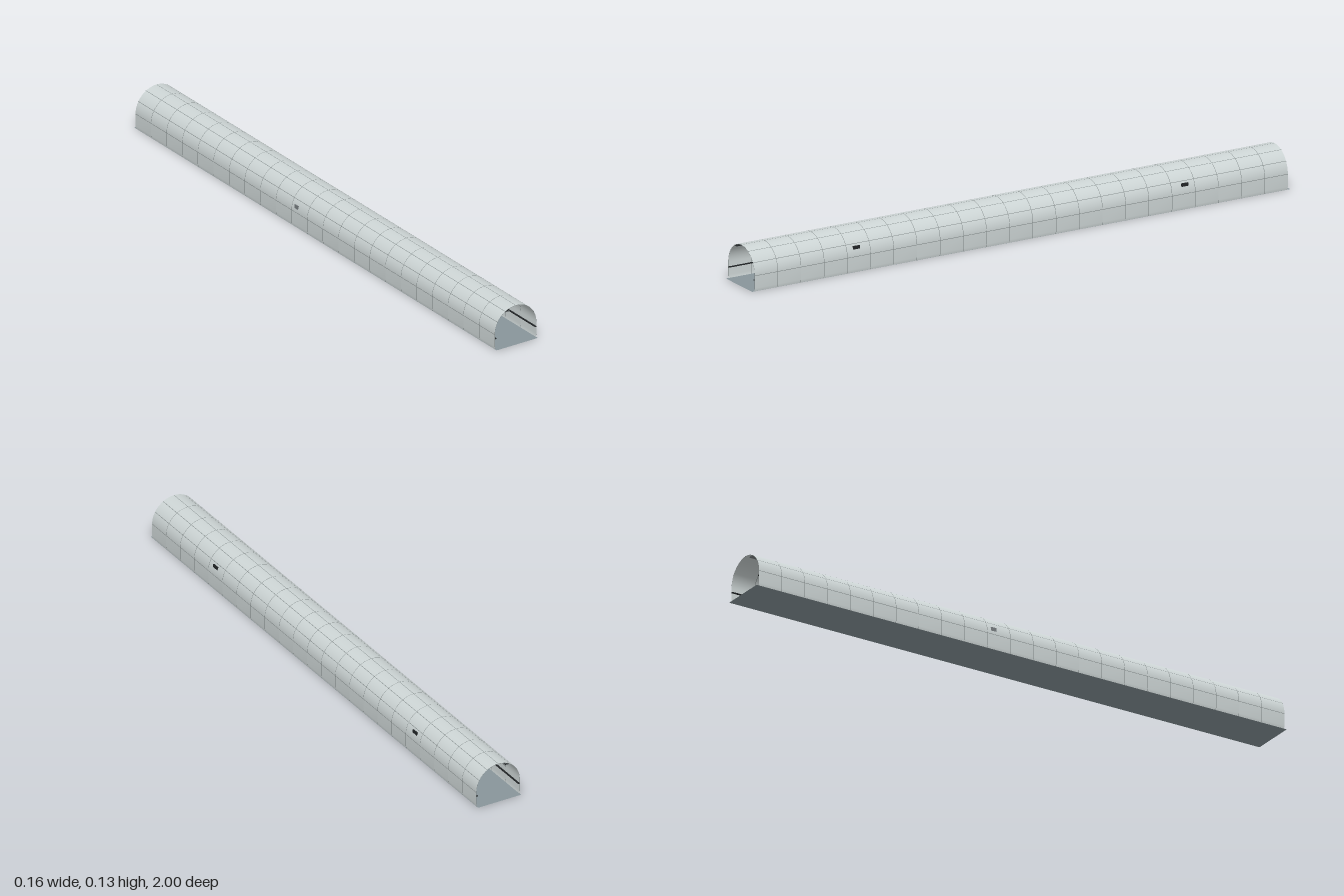
import * as THREE from 'three';

const R = 0.081, SPRING = 0.052, SEGMENTS = 23, PITCH = 0.0862, GAP = 0.0016;
const LENGTH = SEGMENTS * PITCH;

const material = (name, color, side = THREE.FrontSide) => {
  const m = new THREE.MeshStandardMaterial({ color, side });
  m.name = name;
  return m;
};

// Point on the arch at an angle in degrees
function archPoint(deg, r) {
  const a = THREE.MathUtils.degToRad(deg);
  return [r * Math.cos(a), SPRING + r * Math.sin(a)];
}

// Open tunnel outline, from the right wall foot over the crown to the left
function outline(r) {
  const points = [[r - 0.002, 0], [r, 0.01]];
  for (let d = 0; d <= 180; d += 6) points.push(archPoint(d, r));
  points.push([-r, 0.01], [-r + 0.002, 0]);
  return points;
}

// Smooth surface between one outline at z0 and another at z1
function tunnelBand(z0, z1, r0 = R, r1 = R) {
  const start = outline(r0), end = outline(r1), pos = [], index = [];
  start.forEach((p, i) => {
    pos.push(...p, z0, ...end[i], z1);
    if (i) {
      const a = 2 * i - 2;
      index.push(a, a + 2, a + 1, a + 1, a + 2, a + 3);
    }
  });
  const g = new THREE.BufferGeometry();
  g.setAttribute('position', new THREE.Float32BufferAttribute(pos, 3));
  g.setIndex(index);
  g.computeVertexNormals();
  return g;
}

export function createModel() {
  const model = new THREE.Group();
  model.name = 'tunnel';
  const concrete = material('concrete', 0xccd4d4, THREE.DoubleSide);
  const seam = material('seam', 0x858d8d, THREE.DoubleSide);
  const roadGrey = material('roadGrey', 0x88959a, THREE.DoubleSide);
  const darkMetal = material('darkMetal', 0x222527);
  const cabinetGrey = material('cabinetGrey', 0x777d80);
  const trayGrey = material('trayGrey', 0x777d7f);

  const group = (name) => {
    const g = new THREE.Group();
    g.name = name;
    model.add(g);
    return g;
  };
  const add = (name, geometry, mat, x = 0, y = 0, z = 0, parent = model) => {
    const mesh = new THREE.Mesh(geometry, mat);
    mesh.name = name;
    mesh.position.set(x, y, z);
    parent.add(mesh);
    return mesh;
  };
  const box = (name, w, h, d, mat, x, y, z, parent) =>
    add(name, new THREE.BoxGeometry(w, h, d), mat, x, y, z, parent);

  // Flat floor
  add('floor', new THREE.PlaneGeometry(0.16, 2).rotateX(-Math.PI / 2), roadGrey);

  // Lining rings, with a narrow seam between neighbours
  const lining = group('lining');
  for (let i = 0; i < SEGMENTS; i++) {
    const z = -LENGTH / 2 + i * PITCH;
    add('liningRing', tunnelBand(z + GAP / 2, z + PITCH - GAP / 2), concrete, 0, 0, 0, lining);
    if (i) add('ringSeam', tunnelBand(z - GAP / 2, z + GAP / 2), seam, 0, 0, 0, lining);
  }

  // Thin rims closing the lining at both mouths
  for (const z of [-LENGTH / 2 + GAP / 2, LENGTH / 2 - GAP / 2]) {
    add('mouthRim', tunnelBand(z, z, R, R - 0.0008), seam, 0, 0, 0, lining);
  }

  // Lengthwise seams between the arch panels
  for (let deg = 0; deg <= 180; deg += 30) {
    const [x, y] = archPoint(deg, R + 0.0003);
    const strip = new THREE.PlaneGeometry(LENGTH, GAP).rotateY(Math.PI / 2);
    add('panelSeam', strip, seam, x, y, 0, lining).rotation.z = THREE.MathUtils.degToRad(deg);
  }

  // Cable rails on both walls
  for (const side of [-1, 1]) {
    box('cableRail', 0.005, 0.003, LENGTH, darkMetal, side * 0.0775, 0.037, 0);
  }

  // Cable tray hung below the crown
  const tray = group('cableTray');
  box('trayBase', 0.019, 0.001, LENGTH, trayGrey, -0.0335, 0.1195, 0, tray);
  for (let i = 0; i < 3; i++) {
    box('trayCable', 0.002, 0.0015, LENGTH, darkMetal, -0.0385 + i * 0.005, 0.1208, 0, tray);
  }
  for (let i = 0; i < SEGMENTS; i++) {
    box('trayHanger', 0.001, 0.008, 0.003, trayGrey, -0.0255, 0.1235,
      (i - (SEGMENTS - 1) / 2) * PITCH, tray);
  }

  // Wall signs
  for (const z of [-0.61, 0.61]) {
    box('wallSign', 0.006, 0.016, 0.026, darkMetal, 0.0745, 0.078, z);
  }

  // Equipment cabinet set into the wall
  box('cabinet', 0.009, 0.032, 0.02, cabinetGrey, -0.0755, 0.061, -0.105);
  return model;
}
